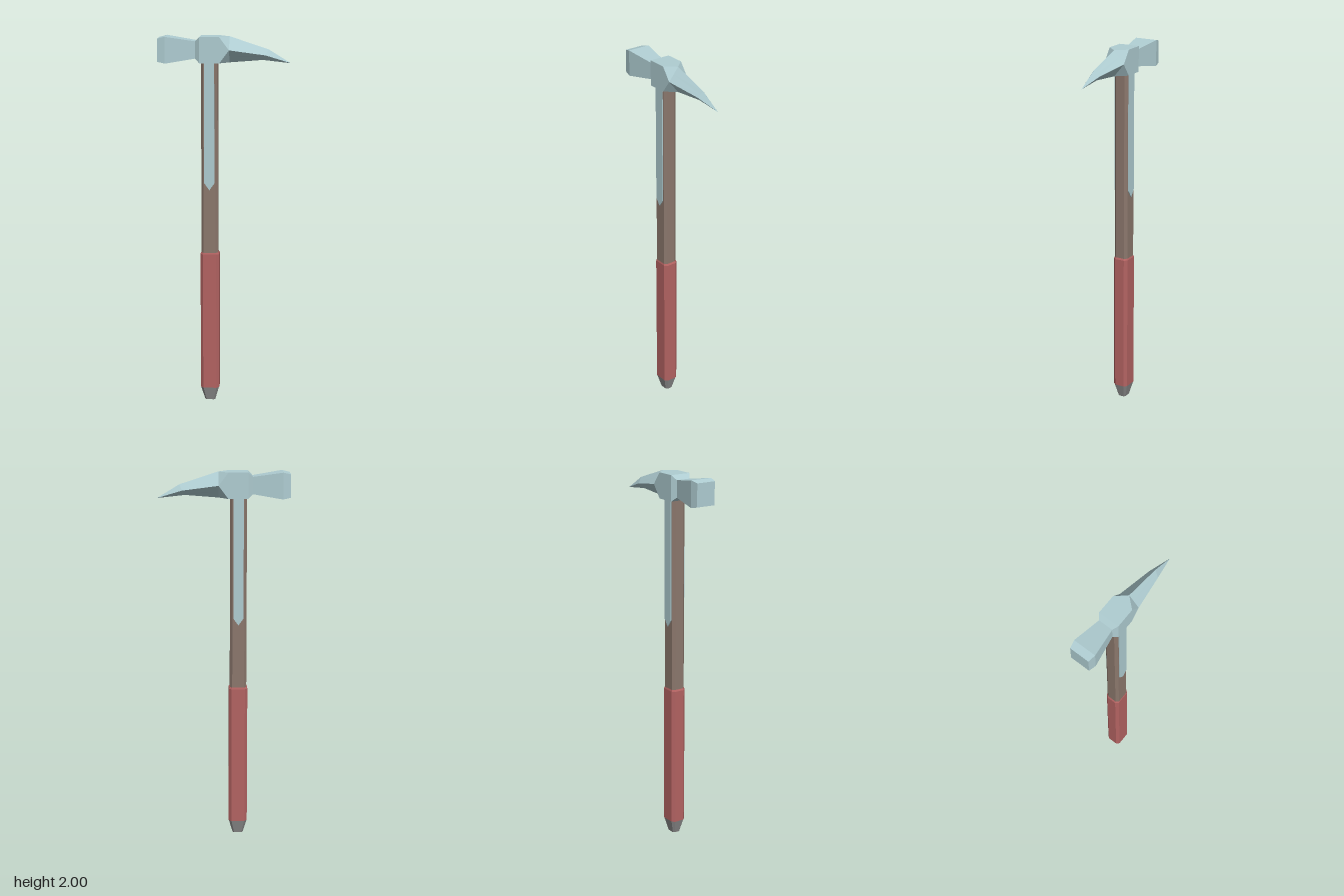
import * as THREE from 'three';

const mat = (name, color, extra = {}) => {
  const m = new THREE.MeshStandardMaterial({ color, flatShading: true, ...extra });
  m.name = name;
  return m;
};

// Skin a list of equal-length rings (counter-clockwise about the travel direction) with flat faces.
function loft(rings) {
  const pos = [];
  const tri = (a, b, c) => {
    const area = new THREE.Triangle(a, b, c).getArea();
    if (area > 1e-8) for (const p of [a, b, c]) pos.push(p.x, p.y, p.z);
  };
  const n = rings[0].length;
  for (let i = 0; i < rings.length - 1; i++) {
    for (let j = 0; j < n; j++) {
      const k = (j + 1) % n;
      const [a, b, c, d] = [rings[i][j], rings[i][k], rings[i + 1][k], rings[i + 1][j]];
      tri(a, b, d);
      tri(b, c, d);
    }
  }
  const first = rings[0], last = rings[rings.length - 1];
  for (let j = 1; j < n - 1; j++) {
    tri(first[0], first[j + 1], first[j]);
    tri(last[0], last[j], last[j + 1]);
  }
  const g = new THREE.BufferGeometry();
  g.setAttribute('position', new THREE.Float32BufferAttribute(pos, 3));
  g.computeVertexNormals();
  return g;
}

const V = (x, y, z) => new THREE.Vector3(x, y, z);

// Chamfered rectangle lying flat at height y: half sizes hx, hz and half lengths of the flats cx, cz
const octagon = (y, hx, hz, cx, cz) => [
  V(cx, y, hz), V(hx, y, cz), V(hx, y, -cz), V(cx, y, -hz),
  V(-cx, y, -hz), V(-hx, y, -cz), V(-hx, y, cz), V(-cx, y, hz),
];

// Eight-point ring for the head: edge midpoints at xm, corners at xc
const rectRing = (xm, xc, top, bottom, z, mid = (top + bottom) / 2) => [
  V(xm, top, 0), V(xc, top, z), V(xm, mid, z), V(xc, bottom, z),
  V(xm, bottom, 0), V(xc, bottom, -z), V(xm, mid, -z), V(xc, top, -z),
];

// Diamond ring, with a halfway point on each side
function diamondRing([tx, ty], [sx, sy, sz], [bx, by]) {
  const m = [V(tx, ty, 0), V(sx, sy, sz), V(bx, by, 0), V(sx, sy, -sz)];
  return m.flatMap((p, i) => [p, p.clone().lerp(m[(i + 1) % 4], 0.5)]);
}

export function createModel() {
  const steel = mat('pale steel', 0xafcdd2);
  const wood = mat('brown wood', 0x8c786d);
  const red = mat('red grip', 0xb36362);
  const grey = mat('grey metal', 0x8e8e8e);

  const model = new THREE.Group();
  model.name = 'pickHammer';
  const add = (name, geometry, material, parent = model) => {
    const mesh = new THREE.Mesh(geometry, material);
    mesh.name = name;
    parent.add(mesh);
    return mesh;
  };

  // Handle, built around its own axis
  const handle = new THREE.Group();
  handle.name = 'handle';
  handle.position.x = -0.08;
  model.add(handle);

  add('shaft', loft([
    octagon(0.8, 0.044, 0.039, 0.032, 0.025),
    octagon(1.88, 0.044, 0.039, 0.032, 0.025),
  ]), wood, handle);
  add('grip', loft([
    octagon(0.075, 0.05, 0.042, 0.036, 0.027),
    octagon(0.833, 0.05, 0.042, 0.036, 0.027),
    octagon(0.842, 0.045, 0.039, 0.033, 0.025),
  ]), red, handle);
  add('endCap', loft([
    octagon(0, 0.028, 0.022, 0.02, 0.013),
    octagon(0.075, 0.049, 0.041, 0.035, 0.026),
  ]), grey, handle);

  // Pointed steel straps on the front and back of the shaft
  const outline = new THREE.Shape([
    [-0.027, 1.87], [-0.027, 1.225], [0, 1.187], [0.027, 1.225], [0.027, 1.87],
  ].map(([x, y]) => new THREE.Vector2(x, y)));
  const strapGeo = new THREE.ExtrudeGeometry(outline, { depth: 0.009, bevelEnabled: false });
  strapGeo.translate(0, 0, 0.035);
  add('frontStrap', strapGeo, steel, handle);
  add('backStrap', strapGeo, steel, handle).rotation.y = Math.PI;

  // Head: hammer face, neck, block with cut corners, then the curved pick
  add('head', loft([
    rectRing(-0.35, -0.35, 1.99, 1.869, 0.054),
    rectRing(-0.31, -0.31, 2, 1.861, 0.062),
    rectRing(-0.154, -0.154, 1.976, 1.886, 0.039),
    rectRing(-0.13, -0.13, 2, 1.864, 0.057),
    rectRing(0.025, -0.026, 2, 1.864, 0.057),
    diamondRing([0.025, 2], [0.025, 1.932, 0.057], [0.025, 1.864]),
    diamondRing([0.228, 1.934], [0.215, 1.904, 0.027], [0.2, 1.878]),
    diamondRing([0.346, 1.862], [0.346, 1.862, 0], [0.346, 1.862]),
  ]), steel);

  return model;
}
